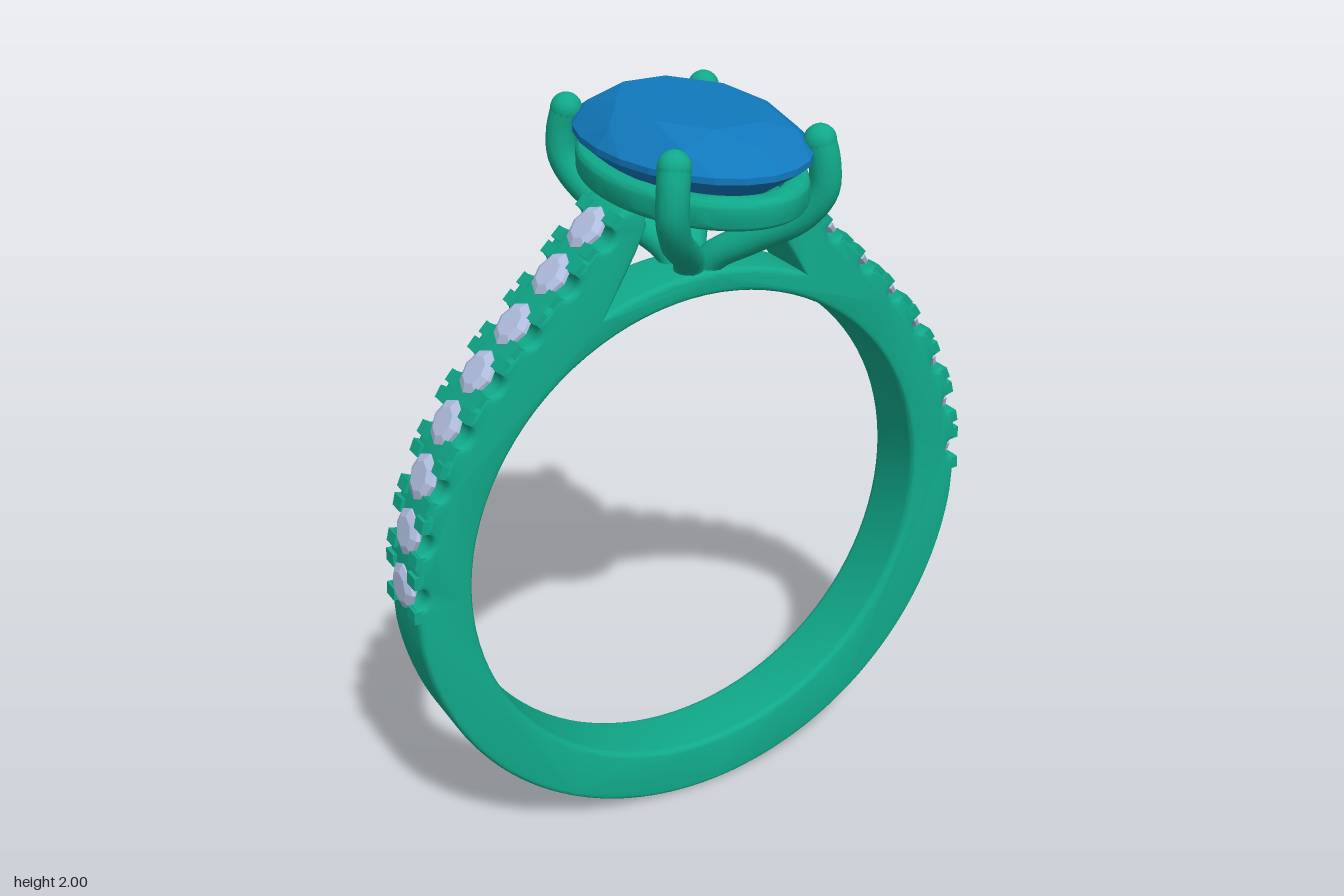
import * as THREE from 'three';
import { toCreasedNormals } from 'three/addons/utils/BufferGeometryUtils.js';
import { ConvexGeometry } from 'three/addons/geometries/ConvexGeometry.js';

const V2 = (x, y) => new THREE.Vector2(x, y);
const metal = new THREE.MeshStandardMaterial({ color: 0x10a98a });
const gemBlue = new THREE.MeshStandardMaterial({ color: 0x1179bd, flatShading: true });
const gemPale = new THREE.MeshStandardMaterial({ color: 0xb4c2e4, flatShading: true });

// Right shoulder curve; the eight inner points are the small stone seats
const seats = [[0.835, 0.88], [0.812, 1.03], [0.762, 1.17], [0.69, 1.3],
  [0.6, 1.415], [0.5, 1.52], [0.392, 1.628], [0.292, 1.73]];
const shoulder = new THREE.SplineCurve(
  [[0.832, 0.74], ...seats, [0.235, 1.785]].map(p => V2(...p)));
const SEGS = seats.length + 1;

function seatFrame(i) {
  const u = (i + 1) / SEGS;
  const p = shoulder.getPoint(u);
  const d = shoulder.getPoint(u + 0.01).sub(shoulder.getPoint(u - 0.01)).normalize();
  return { p, d, n: V2(d.y, -d.x) };
}

function addMesh(parent, name, geometry, material) {
  const mesh = new THREE.Mesh(geometry, material);
  mesh.name = name;
  parent.add(mesh);
  return mesh;
}

// Half outline of the band, from the bottom up to the middle of the bridge
function halfOutline() {
  const pts = [];
  for (let i = 0; i <= 40; i++) {
    const a = -Math.PI / 2 + (Math.PI / 2 - 0.117) * i / 40;
    pts.push(V2(0.838 * Math.cos(a), 0.838 + 0.838 * Math.sin(a)));
  }
  for (let i = 0; i < seats.length; i++) {
    for (const f of [0.35, 0.5, 0.65]) pts.push(shoulder.getPoint((i + f) / SEGS));
    const { p, d, n } = seatFrame(i);
    for (let k = 0; k <= 8; k++) {
      const a = Math.PI * k / 8;
      pts.push(p.clone().addScaledVector(d, -0.03 * Math.cos(a)).addScaledVector(n, -0.03 * Math.sin(a)));
    }
  }
  const inner = [[0.235, 1.785], [0.205, 1.795], [0.172, 1.79], [0.172, 1.735],
    [0.2, 1.675], [0.24, 1.605]];
  pts.push(...inner.map(p => V2(...p)));
  const a0 = Math.atan2(0.692, 0.29);
  for (let i = 0; i <= 10; i++) {
    const a = a0 + (Math.PI / 2 - a0) * i / 10;
    pts.push(V2(0.75 * Math.cos(a), 0.835 + 0.75 * Math.sin(a)));
  }
  return pts;
}

function bandGeometry() {
  const half = halfOutline();
  const mirrored = half.slice(1, -1).reverse().map(p => V2(-p.x, p.y));
  const shape = new THREE.Shape([...half, ...mirrored]);
  shape.holes.push(new THREE.Path().absarc(0, 0.835, 0.685, 0, Math.PI * 2, true));
  const g = new THREE.ExtrudeGeometry(shape, {
    depth: 0.146, curveSegments: 48, bevelEnabled: true,
    bevelThickness: 0.02, bevelSize: 0.014, bevelOffset: -0.014, bevelSegments: 4 });
  g.translate(0, 0, -0.073);
  return toCreasedNormals(g, 0.6);
}

// Faceted oval stone from elliptical rings
function ovalGemGeometry() {
  const pts = [new THREE.Vector3(0, 1.685, 0)];
  const ring = (count, scale, y, shift) => {
    for (let i = 0; i < count; i++) {
      const a = (i + shift) / count * Math.PI * 2;
      pts.push(new THREE.Vector3(0.26 * scale * Math.cos(a), y, 0.39 * scale * Math.sin(a)));
    }
  };
  ring(8, 0.64, 2, 0.5);
  ring(8, 0.86, 1.968, 0);
  ring(24, 1, 1.924, 0);
  ring(24, 1, 1.908, 0);
  ring(8, 0.56, 1.802, 0.5);
  return new ConvexGeometry(pts);
}

// Oval rail under the large stone
function railGeometry() {
  const shape = new THREE.Shape().absellipse(0, 0, 0.25, 0.385, 0, Math.PI * 2, false);
  shape.holes.push(new THREE.Path().absellipse(0, 0, 0.185, 0.32, 0, Math.PI * 2, true));
  const g = new THREE.ExtrudeGeometry(shape, {
    depth: 0.035, curveSegments: 32, bevelEnabled: true,
    bevelThickness: 0.02, bevelSize: 0.018, bevelOffset: -0.018, bevelSegments: 4 });
  g.rotateX(-Math.PI / 2).translate(0, 1.81, 0);
  return toCreasedNormals(g, 0.7);
}

export function createModel() {
  const model = new THREE.Group();
  model.name = 'ring';
  addMesh(model, 'band', bandGeometry(), metal);
  addMesh(model, 'ovalGem', ovalGemGeometry(), gemBlue);
  addMesh(model, 'galleryRail', railGeometry(), metal);

  // Four claws rising from the bridge and bending over the large stone
  for (const sx of [-1, 1]) for (const sz of [-1, 1]) {
    const claw = new THREE.Group();
    claw.name = 'claw';
    const path = new THREE.CatmullRomCurve3([[0.02, 1.55, 0.025], [0.035, 1.61, 0.055],
      [0.1, 1.675, 0.14], [0.175, 1.745, 0.235], [0.21, 1.82, 0.278],
      [0.21, 1.89, 0.282], [0.201, 1.944, 0.272]]
      .map(([x, y, z]) => new THREE.Vector3(sx * x, y, sz * z)));
    addMesh(claw, 'clawStem', new THREE.TubeGeometry(path, 32, 0.04, 14), metal);
    const tip = addMesh(claw, 'clawTip', new THREE.SphereGeometry(0.041, 16, 12), metal);
    tip.position.set(sx * 0.201, 1.944, sz * 0.272);
    model.add(claw);
  }

  // Small stones with four holding beads each along both shoulders
  const stoneGeo = new THREE.LatheGeometry([[0, -0.045], [0.062, -0.008], [0.062, 0.002],
    [0.04, 0.012], [0, 0.012]].map(p => V2(...p)), 8);
  const beadGeo = new THREE.BoxGeometry(0.034, 0.024, 0.046);
  for (const side of [-1, 1]) {
    const row = new THREE.Group();
    row.name = side > 0 ? 'leftStoneRow' : 'rightStoneRow';
    row.rotation.y = side > 0 ? 0 : Math.PI;
    for (let i = 0; i < seats.length; i++) {
      const { p, d, n } = seatFrame(i);
      const seat = new THREE.Group();
      seat.name = 'stoneSeat';
      seat.position.set(p.x, p.y, 0);
      seat.rotation.z = Math.atan2(n.y, n.x) - Math.PI / 2;
      addMesh(seat, 'smallStone', stoneGeo, gemPale);
      for (const t of [-1, 1]) for (const z of [-1, 1]) {
        addMesh(seat, 'bead', beadGeo, metal).position.set(t * 0.049, -0.004, z * 0.068);
      }
      row.add(seat);
    }
    model.add(row);
  }
  return model;
}
